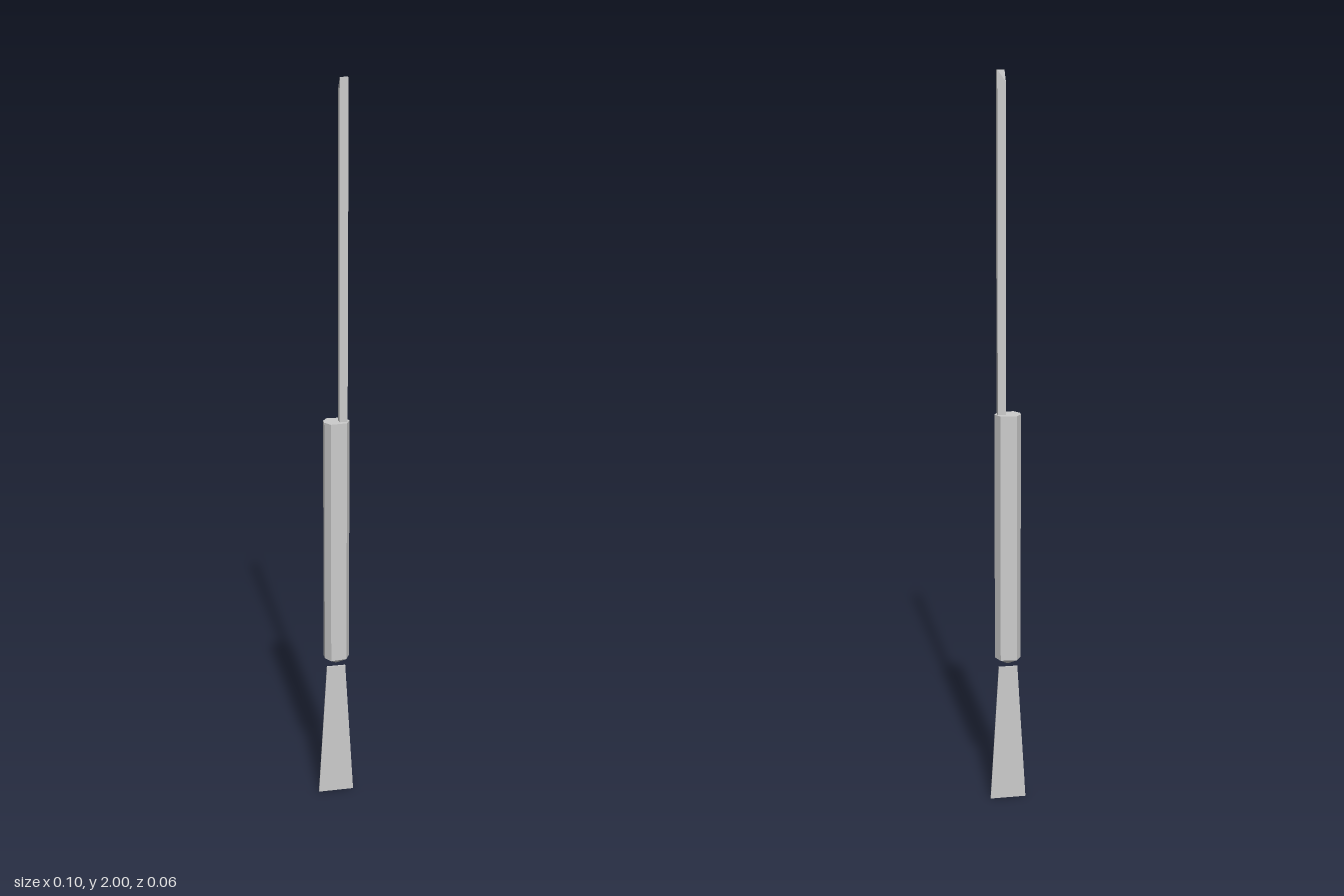
import * as THREE from 'three';

const material = new THREE.MeshStandardMaterial({ color: 0xcccccc, flatShading: true });

// Closed solid through rings of [x, y, z] points, listed bottom to top,
// each ring running counter-clockwise as seen from above.
function loft(name, rings) {
  const pos = [];
  const tri = (a, b, c) => pos.push(...a, ...b, ...c);
  const n = rings[0].length;
  for (let r = 0; r < rings.length - 1; r++) {
    const lo = rings[r], hi = rings[r + 1];
    for (let i = 0; i < n; i++) {
      const j = (i + 1) % n;
      tri(lo[i], lo[j], hi[j]);
      tri(lo[i], hi[j], hi[i]);
    }
  }
  const bottom = rings[0], top = rings[rings.length - 1];
  for (let i = 1; i < n - 1; i++) {
    tri(bottom[0], bottom[i + 1], bottom[i]);
    tri(top[0], top[i], top[i + 1]);
  }
  const geo = new THREE.BufferGeometry();
  geo.setAttribute('position', new THREE.Float32BufferAttribute(pos, 3));
  geo.computeVertexNormals();
  const mesh = new THREE.Mesh(geo, material);
  mesh.name = name;
  return mesh;
}

const ring = (outline, y, s = 1) => outline.map(([x, z]) => [x * s, y, z * s]);
const rect = (x0, x1, z0, z1) => [[x1, z1], [x1, z0], [x0, z0], [x0, z1]];

export function createModel() {
  const group = new THREE.Group();
  group.name = 'bladedTool';

  // Faceted handle, tapering to a small tip underneath
  const grip = [
    [0.036, -0.001], [0.024, -0.027], [-0.02, -0.031], [-0.034, -0.01],
    [-0.034, 0.008], [-0.02, 0.029], [0.024, 0.024],
  ];
  group.add(loft('handle', [ring(grip, 0.412, 0.12), ring(grip, 0.43), ring(grip, 1.12)]));

  // Square rod with one back corner of its top cut lower
  const square = rect(0.006, 0.028, -0.01, 0.012);
  const rodTop = ring(square, 2);
  rodTop[2][1] = 1.97;
  // start at a corner next to the cut so the top folds along the right diagonal
  const turn = (r) => [...r.slice(1), r[0]];
  group.add(loft('rod', [turn(ring(square, 1.12)), turn(rodTop)]));

  // Thin flared blade, just below the handle
  group.add(loft('blade', [
    ring(rect(-0.051, 0.049, -0.001, 0.003), 0),
    ring(rect(-0.027, 0.025, -0.001, 0.003), 0.4),
  ]));

  return group;
}
